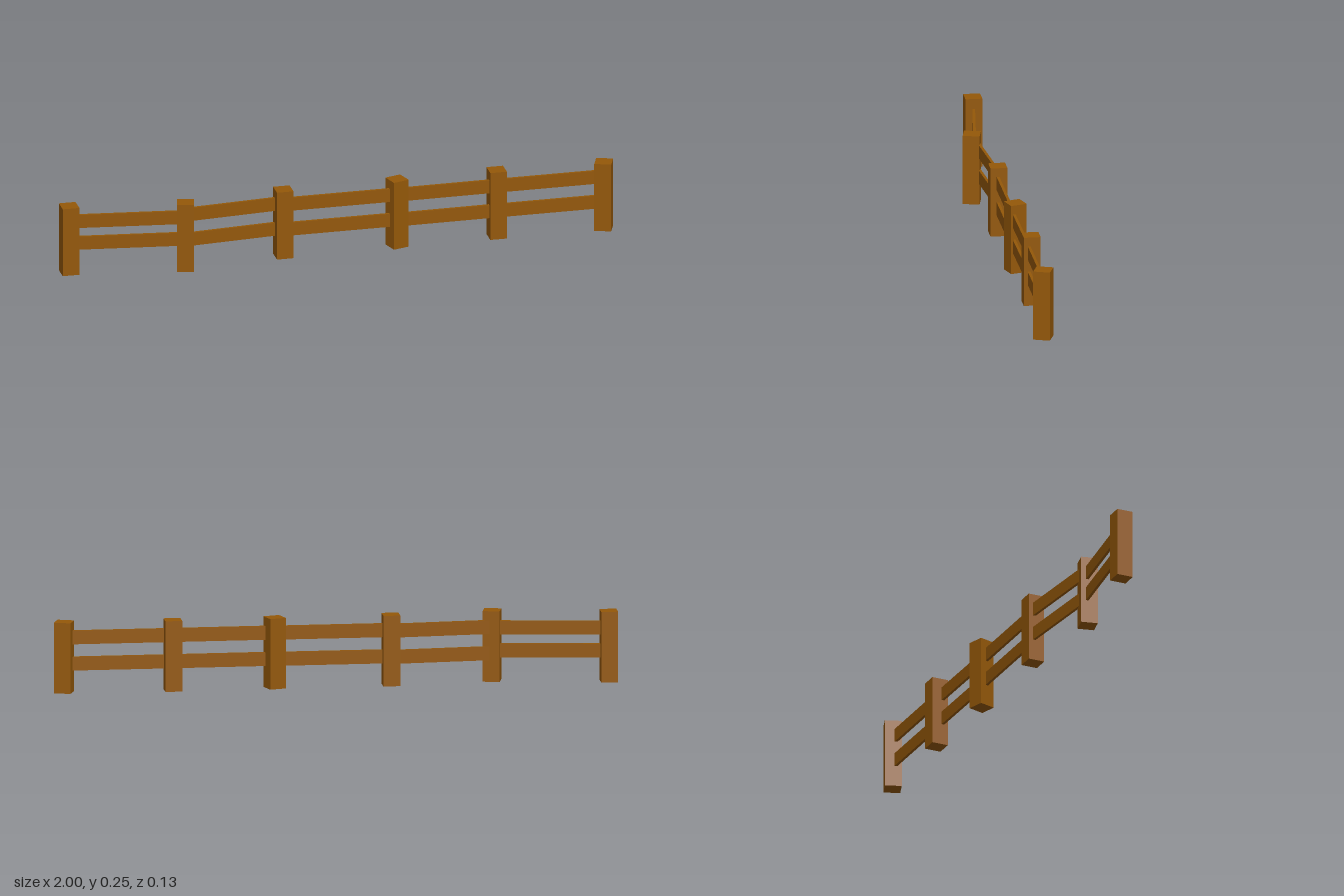
import * as THREE from 'three';

export function createModel() {
  const fence = new THREE.Group();
  fence.name = 'fence';
  const wood = new THREE.MeshStandardMaterial({ color: 0x945808, flatShading: true });

  // Square posts: x, z, turn about the vertical
  const posts = [
    [-0.97, -0.034, 0],
    [-0.563, 0.027, -0.22],
    [-0.199, -0.014, 0],
    [0.214, -0.018, 0.3],
    [0.576, -0.023, 0],
    [0.961, -0.012, -0.35],
  ];
  const postHeight = 0.253;
  const postGeometry = new THREE.BoxGeometry(0.06, postHeight, 0.06);
  posts.forEach(([x, z, turn], i) => {
    const post = new THREE.Mesh(postGeometry, wood);
    post.name = `post${i + 1}`;
    post.position.set(x, postHeight / 2, z);
    post.rotation.y = turn;
    fence.add(post);
  });

  // Thin rails, two per bay: z at each end, upper and lower heights
  const bays = [
    [-0.037, 0.016, 0.192, 0.11],
    [0.005, -0.025, 0.196, 0.102],
    [-0.011, -0.012, 0.196, 0.102],
    [-0.009, -0.012, 0.196, 0.102],
    [-0.012, -0.013, 0.196, 0.102],
  ];
  bays.forEach(([z0, z1, upper, lower], i) => {
    const x0 = posts[i][0], x1 = posts[i + 1][0];
    const length = Math.hypot(x1 - x0, z1 - z0);
    [['upper', upper], ['lower', lower]].forEach(([label, y]) => {
      const rail = new THREE.Mesh(new THREE.BoxGeometry(length, 0.049, 0.01), wood);
      rail.name = `${label}Rail${i + 1}`;
      rail.position.set((x0 + x1) / 2, y, (z0 + z1) / 2);
      rail.rotation.y = -Math.atan2(z1 - z0, x1 - x0);
      fence.add(rail);
    });
  });

  return fence;
}
